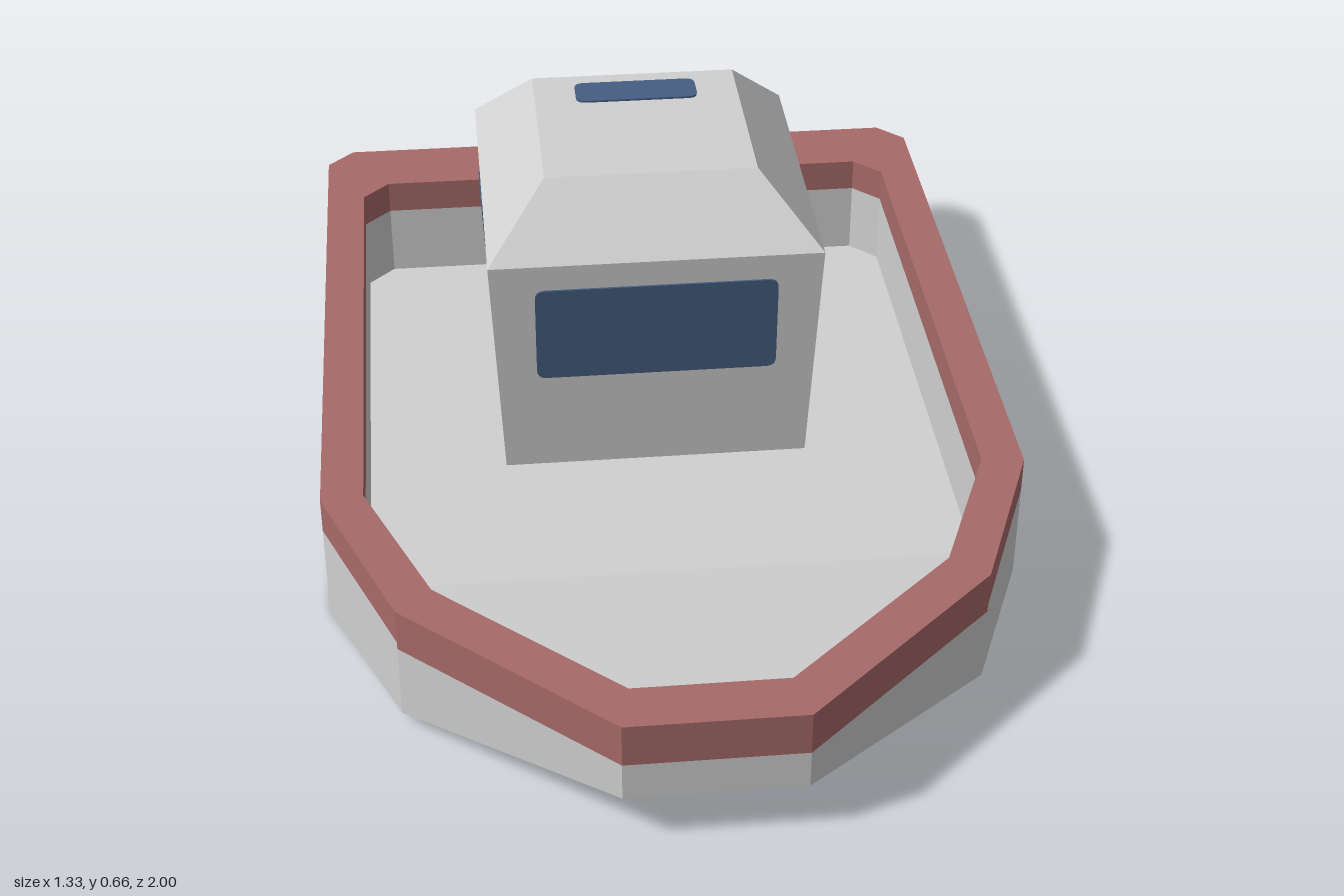
import * as THREE from 'three';

const grey = new THREE.MeshStandardMaterial({ color: 0xd0d0d0 });
grey.name = 'grey paint';
const red = new THREE.MeshStandardMaterial({ color: 0xa66a68 });
red.name = 'dull red paint';
const blue = new THREE.MeshStandardMaterial({ color: 0x465e82 });
blue.name = 'blue glass';

// Half outlines from bow to stern: [x, z, lower height]
const outerHalf = [[0.16, 1, 0.105], [0.53, 0.665, 0.03], [0.665, 0.33, 0], [0.665, -0.945, 0], [0.61, -1, 0]];
const innerHalf = [[0.14, 0.905, 0.125], [0.465, 0.61, 0.08], [0.585, 0.32, 0.04], [0.585, -0.79, 0.04], [0.53, -0.845, 0.04]];
const TOP = 0.265;

const mirrorLoop = (half) => [...half, ...half.map(([x, z, y]) => [-x, z, y]).reverse()];

// Flat-faced mesh from four-cornered faces
function quadMesh(name, quads, material) {
  const pos = [];
  for (const [a, b, c, d] of quads) pos.push(...a, ...b, ...c, ...a, ...c, ...d);
  const geo = new THREE.BufferGeometry();
  geo.setAttribute('position', new THREE.Float32BufferAttribute(pos, 3));
  geo.computeVertexNormals();
  const mesh = new THREE.Mesh(geo, material);
  mesh.name = name;
  return mesh;
}

// Wall faces round a loop; low and high give heights for each point of an edge
function wall(loop, low, high, inward = false) {
  return loop.map((a, i) => {
    const b = loop[(i + 1) % loop.length];
    const at = (p, h) => [p[0], h(p, a, b), p[1]];
    const q = [at(a, low), at(b, low), at(b, high), at(a, high)];
    return inward ? q.reverse() : q;
  });
}

// Faces spanning port to starboard between matching outline points
function span(half, downward = false) {
  return half.slice(1).map(([x1, z1, y1], i) => {
    const [x0, z0, y0] = half[i];
    const q = [[x0, y0, z0], [x1, y1, z1], [-x1, y1, z1], [-x0, y0, z0]];
    return downward ? q.reverse() : q;
  });
}

// Thin rounded plate centred on its own origin, facing +z
function plate(name, w, h, r) {
  const x = w / 2, y = h / 2;
  const s = new THREE.Shape();
  s.moveTo(-x + r, -y);
  s.lineTo(x - r, -y).quadraticCurveTo(x, -y, x, -y + r);
  s.lineTo(x, y - r).quadraticCurveTo(x, y, x - r, y);
  s.lineTo(-x + r, y).quadraticCurveTo(-x, y, -x, y - r);
  s.lineTo(-x, -y + r).quadraticCurveTo(-x, -y, -x + r, -y);
  const geo = new THREE.ExtrudeGeometry(s, { depth: 0.006, bevelEnabled: false, curveSegments: 4 });
  geo.translate(0, 0, -0.002);
  const mesh = new THREE.Mesh(geo, blue);
  mesh.name = name;
  return mesh;
}

function buildHull() {
  const hull = new THREE.Group();
  hull.name = 'hull';
  const outer = mirrorLoop(outerHalf), inner = mirrorLoop(innerHalf);
  const base = (p) => p[2];
  const band = (p, a, b) => (Math.min(a[1], b[1]) > 0.6 ? 0.18 : 0.195);
  const top = () => TOP;
  const rim = outer.map((a, i) => {
    const j = (i + 1) % outer.length;
    return [a, outer[j], inner[j], inner[i]].map(([x, z]) => [x, TOP, z]);
  });
  hull.add(
    quadMesh('hullSides', wall(outer, base, band), grey),
    quadMesh('hullBottom', span(outerHalf, true), grey),
    quadMesh('outerBand', wall(outer, band, top), red),
    quadMesh('gunwale', rim, red),
    quadMesh('innerBand', wall(inner, band, top, true), red),
    quadMesh('innerSides', wall(inner, base, band, true), grey),
    quadMesh('deck', span(innerHalf), grey),
  );
  return hull;
}

function buildCabin() {
  const cabin = new THREE.Group();
  cabin.name = 'cabin';
  cabin.position.z = -0.3635;
  // Square cross-sections: [half width, height]
  const levels = [[0.308, 0.04], [0.33, 0.525], [0.21, 0.655]];
  const rings = levels.map(([h, y]) => [[h, y, h], [h, y, -h], [-h, y, -h], [-h, y, h]]);
  const between = (lo, hi) => lo.map((a, i) => [a, lo[(i + 1) % 4], hi[(i + 1) % 4], hi[i]]);
  cabin.add(
    quadMesh('cabinWalls', between(rings[0], rings[1]), grey),
    quadMesh('cabinRoof', [...between(rings[1], rings[2]), rings[2]], grey),
  );

  // Glass follows the slight outward lean of the walls
  const lean = Math.atan2(0.022, 0.485);
  const addToWall = (mesh, y, along, turn) => {
    const holder = new THREE.Group();
    holder.name = mesh.name + 'Mount';
    holder.rotation.y = turn;
    mesh.position.set(along, y, 0.33 - (0.525 - y) * Math.tan(lean));
    mesh.rotation.x = lean;
    holder.add(mesh);
    cabin.add(holder);
  };
  addToWall(plate('windscreen', 0.48, 0.21, 0.02), 0.365, 0, 0);
  for (const side of [1, -1]) {
    addToWall(plate(side > 0 ? 'leftDoor' : 'rightDoor', 0.14, 0.345, 0.02), 0.2725, side * 0.1515, side * Math.PI / 2);
  }
  const hatch = plate('roofHatch', 0.25, 0.08, 0.02);
  hatch.rotation.x = -Math.PI / 2;
  hatch.position.set(0, 0.655, -0.1315);
  cabin.add(hatch);
  return cabin;
}

export function createModel() {
  const boat = new THREE.Group();
  boat.name = 'boat';
  boat.add(buildHull(), buildCabin());
  return boat;
}
